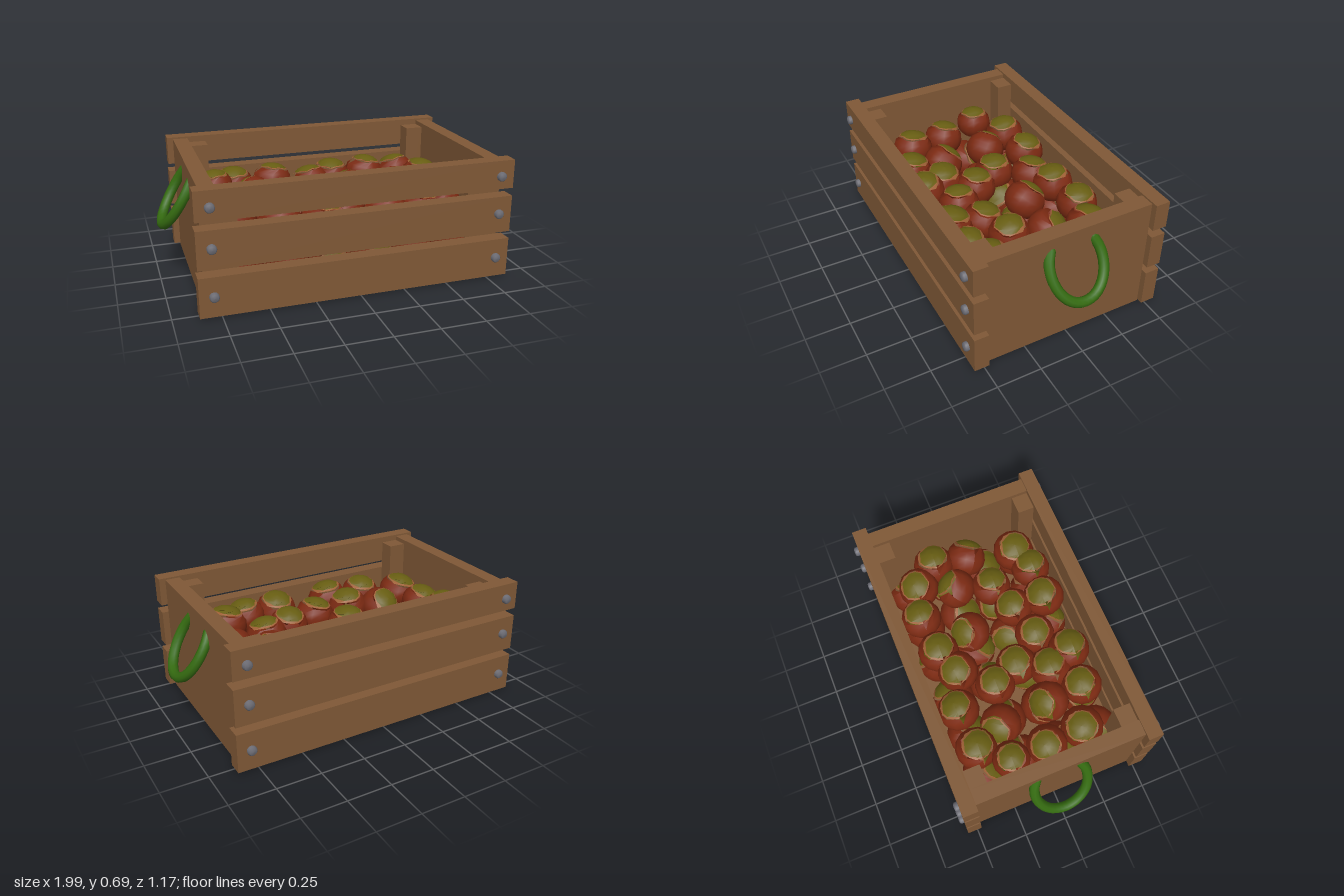
import * as THREE from 'three';

const mat = (name, color) => {
  const m = new THREE.MeshStandardMaterial({ color });
  m.name = name;
  return m;
};

// One zone of a nut between two angles from its crown; edges may be ragged
function nutZone(from, to, rows) {
  const cols = 14;
  const g = new THREE.SphereGeometry(1, cols, rows);
  const p = g.attributes.position, uv = g.attributes.uv;
  for (let i = 0; i < p.count; i++) {
    const col = Math.round(uv.getX(i) * cols) % cols;
    const t = THREE.MathUtils.lerp(from(col), to(col), 1 - uv.getY(i));
    const a = (col / cols) * Math.PI * 2;
    const r = 0.126 * Math.pow(Math.max(Math.sin(t), 0), 0.9);
    p.setXYZ(i, -r * Math.cos(a), 0.114 * Math.cos(t), r * Math.sin(a));
  }
  // Rebuild the faces so that both pole rows stay closed
  const index = [];
  for (let j = 0; j < rows; j++) {
    for (let i = 0; i < cols; i++) {
      const a = j * (cols + 1) + i, b = a + cols + 1;
      index.push(a + 1, a, b, a + 1, b, b + 1);
    }
  }
  g.setIndex(index);
  g.computeVertexNormals();
  return g;
}

export function createModel() {
  const wood = mat('wood', 0x7f5836);
  const metal = mat('bolt metal', 0x6c6c74);
  const rope = mat('green rope', 0x346a10);
  const shell = mat('nut shell', 0x7c2a12);
  const cap = mat('nut cap', 0x675d12);
  const fringe = mat('nut fringe', 0x9c5f34);

  const crate = new THREE.Group();
  crate.name = 'crateOfNuts';
  const add = (parent, name, geo, material, x = 0, y = 0, z = 0) => {
    const m = new THREE.Mesh(geo, material);
    m.name = name;
    m.position.set(x, y, z);
    parent.add(m);
    return m;
  };
  // Box given by its lower and upper height
  const board = (name, w, y0, y1, d, x, z) =>
    add(crate, name, new THREE.BoxGeometry(w, y1 - y0, d), wood, x, (y0 + y1) / 2, z);

  // Base, end boards and corner posts
  board('base', 1.49, 0.01, 0.07, 0.95, 0, 0);
  for (const sx of [-1, 1]) {
    board('endBoard', 0.085, 0, 0.675, 0.95, sx * 0.787, 0);
    for (const sz of [-1, 1]) board('cornerPost', 0.105, 0.07, 0.65, 0.095, sx * 0.692, sz * 0.427);
  }

  // Long slats with domed bolts
  const boltGeo = new THREE.LatheGeometry(
    [[0.026, -0.01], [0.026, 0.016], [0.019, 0.024], [0, 0.026]].map(([r, y]) => new THREE.Vector2(r, y)), 12);
  const slats = [[0.01, 0.23, 0.123], [0.272, 0.48, 0.383], [0.525, 0.685, 0.598]];
  for (const sz of [-1, 1]) {
    for (const [y0, y1, boltY] of slats) {
      board('slat', 1.73, y0, y1, 0.083, 0, sz * 0.516);
      for (const sx of [-1, 1]) {
        const bolt = add(crate, 'bolt', boltGeo, metal, sx * 0.788, boltY, sz * 0.557);
        bolt.rotation.x = sz * Math.PI / 2;
      }
    }
  }

  // Drooping rope handles: an open oval leaning outwards
  const tipGeo = new THREE.SphereGeometry(0.028, 9, 6);
  for (const sx of [-1, 1]) {
    const points = [];
    for (let i = 0; i <= 12; i++) {
      const a = THREE.MathUtils.lerp(-0.65, Math.PI + 0.65, i / 12);
      const y = 0.495 - 0.165 * Math.sin(a);
      points.push(new THREE.Vector3(sx * (0.81 + 0.6 * (0.595 - y)), y, -0.01 + 0.152 * Math.cos(a)));
    }
    const curve = new THREE.CatmullRomCurve3(points);
    add(crate, 'handle', new THREE.TubeGeometry(curve, 28, 0.028, 9), rope);
    for (const tip of [points[0], points[12]]) add(crate, 'handleEnd', tipGeo, rope, tip.x, tip.y, tip.z);
  }

  // Shared nut pieces: crown cap, ragged fringe and shell
  const inner = (c) => 0.70 + 0.05 * Math.sin(c * 2.6);
  const outer = (c) => 0.84 + 0.05 * Math.sin(c * 4.1 + 1);
  const parts = [
    ['nutCap', nutZone(() => 0, inner, 3), cap],
    ['nutFringe', nutZone(inner, outer, 1), fringe],
    ['nutShell', nutZone(outer, () => Math.PI, 7), shell],
  ];
  const up = new THREE.Vector3(0, 1, 0);
  const addNut = (x, y, z, leanX, leanZ, size) => {
    const nut = new THREE.Group();
    nut.name = 'nut';
    for (const [name, geo, material] of parts) add(nut, name, geo, material);
    nut.position.set(x, y, z);
    nut.quaternion.setFromUnitVectors(up, new THREE.Vector3(leanX, 1, leanZ).normalize());
    nut.scale.setScalar(size);
    crate.add(nut);
  };

  // Upper nuts lying crown up, with a slight lean
  [
    [-0.50, -0.35], [-0.26, -0.36], [-0.04, -0.28], [0.11, -0.34], [0.34, -0.36], [0.53, -0.305],
    [-0.19, -0.11], [0.64, -0.17], [-0.63, 0.02], [-0.12, 0.05], [0.385, 0.10], [-0.61, 0.24],
    [-0.385, 0.34], [-0.16, 0.36], [0.01, 0.22], [0.20, 0.36], [0.40, 0.36], [0.545, 0.31],
    [0.21, 0.17], [-0.22, 0.22],
  ].forEach(([x, z], i) => {
    // Nuts nearer the middle sit lower
    const y = 0.34 + 0.06 * Math.min(1, Math.hypot(x / 0.6, z / 0.35));
    addNut(x, y, z, 0.2 * Math.sin(i * 2.1), -0.12 + 0.2 * Math.cos(i * 1.9), 0.94 + 0.04 * Math.sin(i * 3.1));
  });

  // One raised nut and the rolled ones whose crowns face sideways
  addNut(-0.64, 0.45, -0.2, -0.05, -0.05, 0.84);
  [[-0.42, -0.17], [0.16, -0.125], [0.45, -0.1], [-0.40, 0.13], [0.62, 0.03]].forEach(([x, z], i) =>
    addNut(x, 0.38, z, i % 2 ? -0.2 : x * 1.8, x > 0.6 ? 0.8 : -1, 0.94));

  // Lower layer resting on the base
  for (let i = 0; i < 6; i++) {
    for (let j = 0; j < 4; j++) {
      const k = i * 4 + j;
      addNut(-0.6 + i * 0.24, 0.2 + 0.015 * Math.sin(k * 2.3), -0.348 + j * 0.232, Math.sin(k * 1.7), Math.cos(k * 2.9), 1);
    }
  }
  return crate;
}
